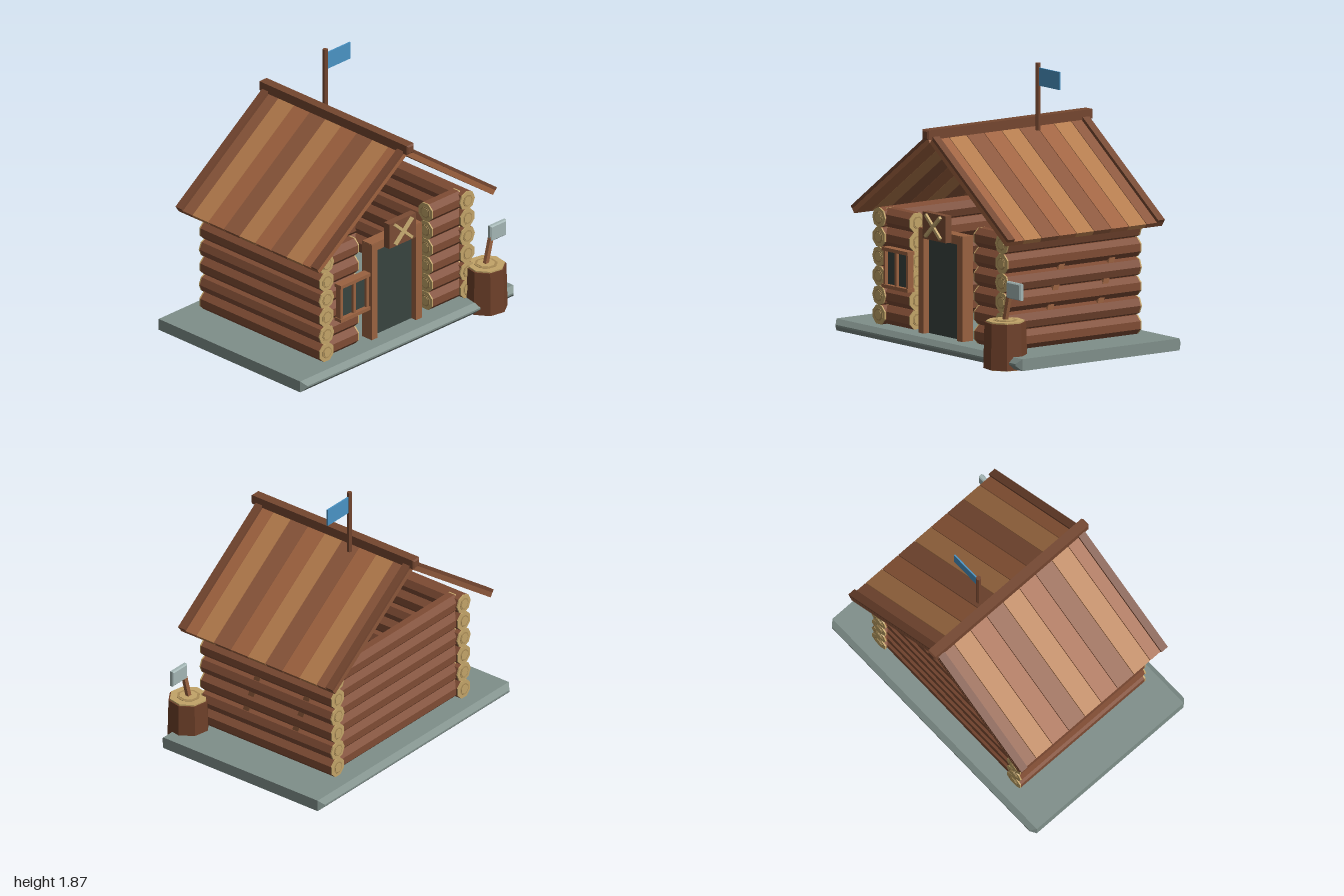
import * as THREE from 'three';

const mat = (color) => new THREE.MeshStandardMaterial({ color, flatShading: true });
const M = {
  log: mat(0x7f4c34), bark: mat(0x6e4029), cut: mat(0xc2a468), ring: mat(0xa88a55),
  frame: mat(0x9a6240), beam: mat(0x74462f), sign: mat(0x7a4c34), cross: mat(0xc9ad72),
  dark: mat(0x38433f), stone: mat(0x7f8f8a), metal: mat(0xa3b5b4), flag: mat(0x4a93c4),
  roof: [mat(0x8b563a), mat(0xb37a4b), mat(0x9f623f)],
};

function add(parent, name, geometry, material, x = 0, y = 0, z = 0) {
  const mesh = new THREE.Mesh(geometry, material);
  mesh.name = name;
  mesh.position.set(x, y, z);
  parent.add(mesh);
  return mesh;
}

function box(parent, name, material, w, h, d, x, y, z) {
  return add(parent, name, new THREE.BoxGeometry(w, h, d), material, x, y, z);
}

// Box with all edges chamfered by c
function chamferBox(w, h, d, c) {
  const a = w / 2 - c, b = h / 2 - c;
  const shape = new THREE.Shape([[-a, -b], [a, -b], [a, b], [-a, b]].map((p) => new THREE.Vector2(...p)));
  const g = new THREE.ExtrudeGeometry(shape, {
    depth: d - 2 * c, bevelEnabled: true, bevelThickness: c, bevelSize: c, bevelSegments: 1,
  });
  return g.translate(0, 0, -d / 2 + c);
}

// Sawn wood face with growth rings, at the end of a trunk along y
function sawnFace(parent, radius, y, dir) {
  [[1, M.cut, 0.010], [0.62, M.ring, 0.013], [0.48, M.cut, 0.016]].forEach(([f, m, h]) => {
    add(parent, 'sawnFace', new THREE.CylinderGeometry(radius * f, radius * f, h, 8), m, 0, y + dir * h / 2, 0);
  });
}

function log(parent, name, axis, from, to, x, y, z, turn) {
  const g = new THREE.Group();
  const len = to - from - 0.024, mid = (from + to) / 2;
  g.name = name;
  add(g, 'logBark', new THREE.CylinderGeometry(0.069, 0.069, len, 8), M.log);
  sawnFace(g, 0.069, len / 2, 1);
  sawnFace(g, 0.069, -len / 2, -1);
  g.children.forEach((c) => { c.rotation.y = turn; });
  if (axis === 'x') { g.rotation.z = -Math.PI / 2; g.position.set(mid, y, z); }
  else { g.rotation.x = Math.PI / 2; g.position.set(x, y, mid); }
  parent.add(g);
}

function buildWalls(root) {
  const walls = new THREE.Group();
  walls.name = 'logWalls';
  for (let i = 0; i < 6; i++) {
    const y = 0.163 + i * 0.13;
    const turn = i % 2 ? 0 : Math.PI / 8;
    for (const s of [-1, 1]) {
      log(walls, 'sideLog', 'z', -0.595, 0.53, s * 0.66, y, 0, turn);
      const ends = [s * 0.34, s * 0.64].sort((a, b) => a - b);
      log(walls, 'frontLog', 'x', ends[0], ends[1], 0, y, 0.45, Math.PI / 8);
    }
    log(walls, 'backLog', 'x', -0.64, 0.64, 0, y, -0.51, Math.PI / 8);
  }
  // Slanted battens showing in the chinks of one side wall
  for (const z of [0.105, -0.315]) {
    box(walls, 'batten', M.frame, 0.03, 0.34, 0.045, 0.69, 0.49, z).rotation.x = -0.33;
  }
  root.add(walls);
}

function buildRoof(root) {
  const roof = new THREE.Group();
  roof.name = 'roof';
  const length = 1.0, width = 1.31 / 9;
  for (const s of [-1, 1]) {
    const slope = new THREE.Group();
    slope.name = 'roofSlope';
    slope.position.set(0, 1.41, 0);
    slope.rotation.z = -s * 0.62;
    for (let i = 0; i < 9; i++) {
      box(slope, 'roofPlank', M.roof[i % 3], length, 0.035, width - 0.004,
        s * length / 2, 0.0175, -0.695 + (i + 0.5) * width);
    }
    for (const z of [-0.665, 0.588]) {
      box(slope, 'bargeBoard', M.beam, length, 0.022, 0.055, s * length / 2, 0.046, z);
    }
    roof.add(slope);
  }
  add(roof, 'ridgeBeam', chamferBox(0.068, 0.065, 1.385, 0.01), M.beam, 0, 1.47, -0.035);
  root.add(roof);
}

function buildDoor(root) {
  const door = new THREE.Group();
  door.name = 'doorway';
  box(door, 'doorPanel', M.dark, 0.38, 0.66, 0.03, 0, 0.42, 0.465);
  for (const s of [-1, 1]) box(door, 'doorPost', M.frame, 0.055, 0.7, 0.09, s * 0.208, 0.45, 0.48);
  box(door, 'doorLintel', M.frame, 0.47, 0.06, 0.085, 0, 0.775, 0.48);
  // Sign with crossed sticks
  box(door, 'signBoard', M.sign, 0.25, 0.18, 0.05, 0, 0.842, 0.553);
  for (const s of [-1, 1]) {
    box(door, 'crossedStick', M.cross, 0.215, 0.02, 0.02, 0, 0.845, 0.587 + s * 0.002).rotation.z = s * 0.74;
  }
  root.add(door);
}

function buildWindow(root) {
  const win = new THREE.Group();
  win.name = 'window';
  box(win, 'windowPane', M.dark, 0.25, 0.25, 0.02, -0.43, 0.497, 0.53);
  for (const y of [0.374, 0.622]) box(win, 'windowRail', M.frame, 0.275, 0.024, 0.06, -0.433, y, 0.542);
  for (const x of [-0.555, -0.433, -0.311]) box(win, 'windowBar', M.frame, 0.02, 0.25, 0.045, x, 0.497, 0.54);
  root.add(win);
}

function buildStump(root) {
  const stump = new THREE.Group();
  stump.name = 'choppingStump';
  stump.position.set(0.775, 0, 0.585);
  add(stump, 'stumpBark', new THREE.CylinderGeometry(0.138, 0.146, 0.308, 8), M.bark, 0, 0.164, 0);
  sawnFace(stump, 0.128, 0.318, 1);
  sawnFace(stump, 0.134, 0.016, -1);
  stump.rotation.y = 0.2;
  root.add(stump);
  // Hatchet stuck in the stump
  const hatchet = new THREE.Group();
  hatchet.name = 'hatchet';
  box(hatchet, 'hatchetHandle', M.frame, 0.03, 0.26, 0.026, 0.798, 0.42, 0.585).rotation.z = -0.26;
  add(hatchet, 'hatchetHead', chamferBox(0.15, 0.112, 0.035, 0.008), M.metal, 0.88, 0.537, 0.585);
  root.add(hatchet);
}

export function createModel() {
  const root = new THREE.Group();
  root.name = 'logCabin';
  add(root, 'stoneBase', chamferBox(2, 0.08, 1.38, 0.034), M.stone, 0, 0.06, -0.04);
  buildWalls(root);
  buildRoof(root);
  buildDoor(root);
  buildWindow(root);
  buildStump(root);
  // Flag on the roof
  add(root, 'flagPole', new THREE.CylinderGeometry(0.018, 0.018, 0.45, 6), M.beam, 0.086, 1.645, -0.225);
  box(root, 'flag', M.flag, 0.22, 0.12, 0.01, 0.21, 1.78, -0.225);
  return root;
}
